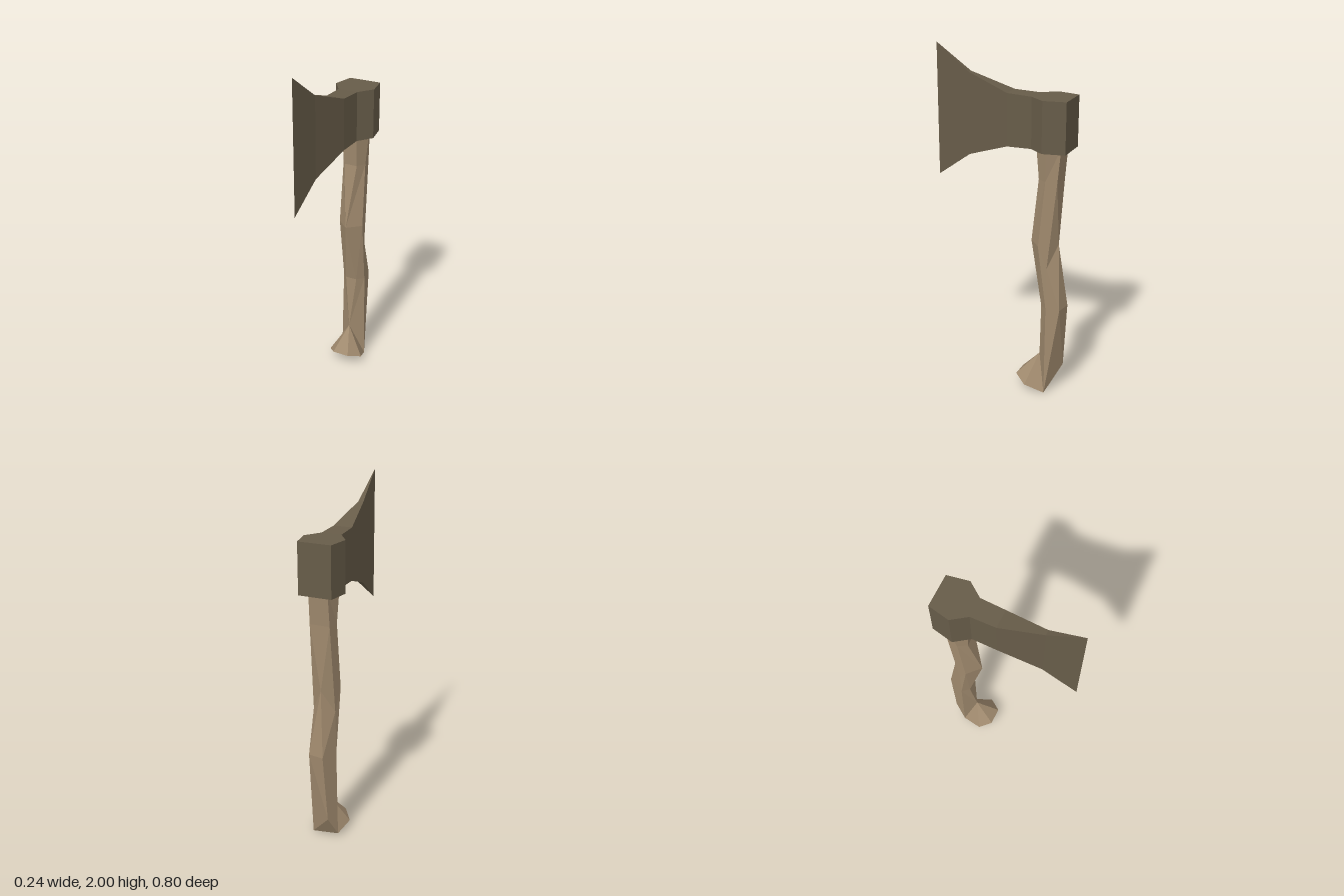
import * as THREE from 'three';

const v = (x, y, z) => new THREE.Vector3(x, y, z);

// Flat-shaded mesh from triangles; collapsed triangles are dropped
function facetMesh(name, tris, material) {
  const solid = tris.filter((t) => new THREE.Triangle(...t).getArea() > 1e-7);
  const geometry = new THREE.BufferGeometry().setFromPoints(solid.flat());
  geometry.computeVertexNormals();
  const mesh = new THREE.Mesh(geometry, material);
  mesh.name = name;
  return mesh;
}

// Skin between rings, with mirrored diagonals; flip(i, j) swaps a diagonal
function loft(rings, flip = () => false) {
  const tris = [];
  const n = rings[0].length;
  for (let i = 0; i < rings.length - 1; i++) {
    for (let j = 0; j < n; j++) {
      const k = (j + 1) % n;
      const a = rings[i][j], b = rings[i][k], c = rings[i + 1][k], d = rings[i + 1][j];
      if ((j < n / 2) !== flip(i, j)) tris.push([a, b, c], [a, c, d]);
      else tris.push([a, b, d], [b, c, d]);
    }
  }
  return tris;
}

// Ring of the handle: front pair, two points on each side, back pair
function handleRing(front, sideFront, sideBack, back, backLeft) {
  const half = [front, sideFront, sideBack, back].map((p) => v(...p));
  const other = half.map((p) => v(-p.x, p.y, p.z));
  if (backLeft) other[3] = v(...backLeft);
  return [...half, ...other.reverse()];
}

function buildHandle(material) {
  const heel = [-0.047, 0.15, -0.365];
  const rings = [
    handleRing([0, 0.22, -0.235], [0.078, 0.005, -0.295], [0.078, 0.005, -0.295], heel, heel),
    handleRing([0.035, 0.55, -0.255], [0.07, 0.55, -0.295], [0.07, 0.55, -0.295], [0.06, 0.55, -0.375], [-0.03, 0.55, -0.39]),
    handleRing([0, 0.93, -0.175], [0.075, 0.93, -0.245], [0.065, 0.8, -0.295], [0, 0.93, -0.34]),
    handleRing([0.04, 1.31, -0.23], [0.07, 1.31, -0.28], [0.058, 1.31, -0.345], [0.058, 1.31, -0.345]),
    handleRing([0.045, 1.5, -0.215], [0.087, 1.5, -0.285], [0.055, 1.5, -0.362], [0.055, 1.5, -0.362]),
  ];
  rings[0][5].y = rings[0][6].y = 0.025;
  const tris = loft(rings, (i, j) => i === 1 && (j === 2 || j === 4));

  // Flared foot: fan up to the front ridge, flat sole below
  const ridge = rings[0][0];
  const sole = [
    rings[0][6], v(-0.1, 0.05, -0.175), v(-0.045, 0.08, -0.11),
    v(0.055, 0.08, -0.11), v(0.11, 0.05, -0.185), rings[0][1],
  ];
  for (let i = 0; i < 5; i++) {
    tris.push([sole[i], sole[i + 1], ridge]);
    if (i > 0) tris.push([sole[0], sole[i + 1], sole[i]]);
  }
  // Bevel at the back of the foot
  tris.push([sole[5], sole[0], v(...heel)]);
  return facetMesh('handle', tris, material);
}

function buildHead(material) {
  // Stations from the poll to the cutting edge: z, half width, bottom, top
  const rings = [
    [-0.4, 0.094, 1.48, 1.765],
    [-0.275, 0.118, 1.48, 1.765],
    [-0.19, 0.057, 1.48, 1.765],
    [-0.045, 0.053, 1.475, 1.77],
    [0.2, 0.015, 1.39, 1.855],
    [0.4, 0, 1.245, 2],
  ].map(([z, w, lo, hi]) => [v(-w, lo, z), v(w, lo, z), v(w, hi, z), v(-w, hi, z)]);
  const tris = loft(rings);
  const [a, b, c, d] = rings[0];
  tris.push([a, c, b], [a, d, c]);
  return facetMesh('axeHead', tris, material);
}

export function createModel() {
  const wood = new THREE.MeshStandardMaterial({ color: 0xa08a6e });
  wood.name = 'wood';
  const metal = new THREE.MeshStandardMaterial({ color: 0x675c49 });
  metal.name = 'darkMetal';
  const group = new THREE.Group();
  group.name = 'axe';
  group.add(buildHandle(wood), buildHead(metal));
  return group;
}
